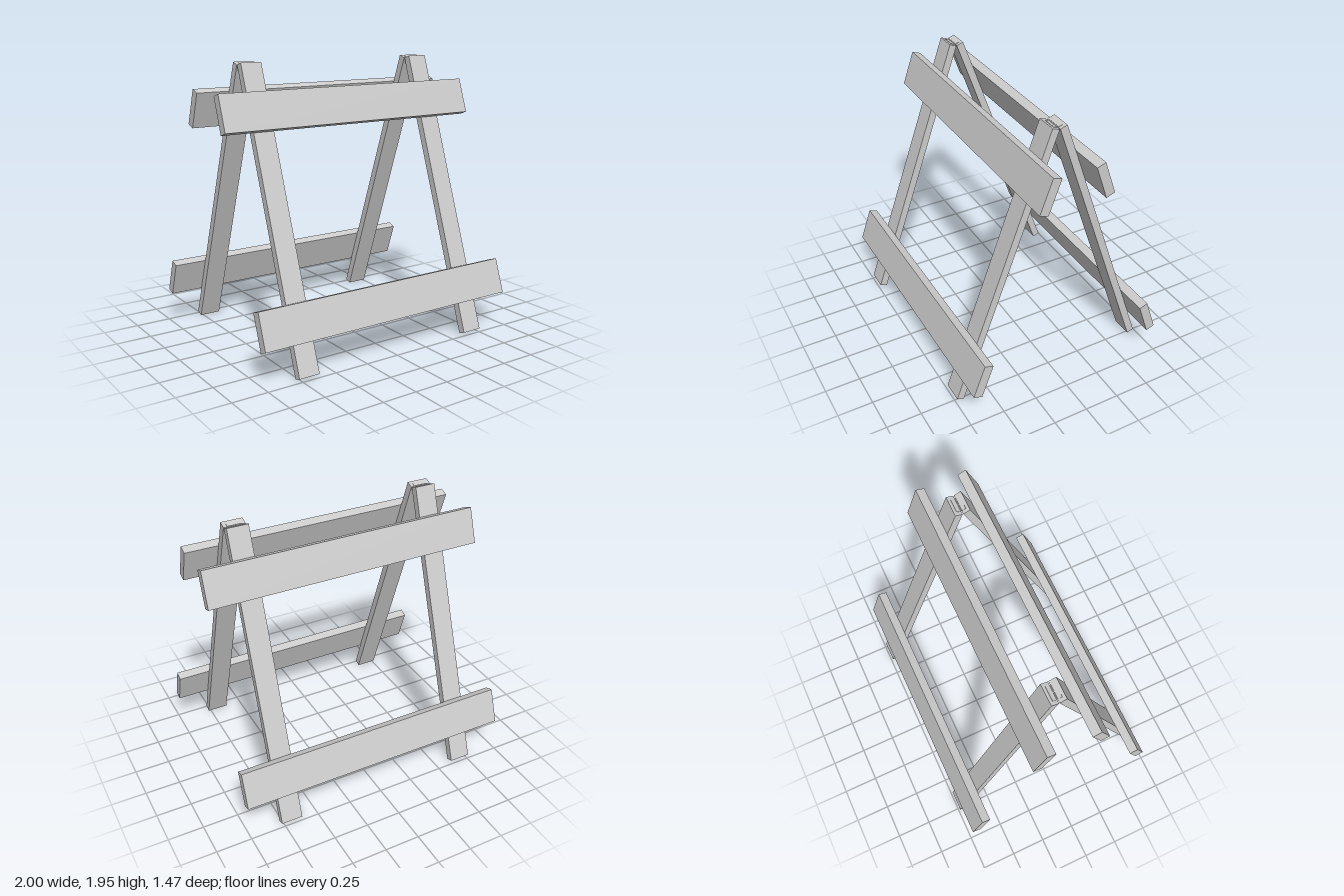
import * as THREE from 'three';

const material = new THREE.MeshStandardMaterial({ color: 0xcccccc, flatShading: true });

const LEAN = 0.3414;      // tilt of each frame from vertical
const LEG_LENGTH = 2.046;
const LEG_DEPTH = 0.053;
const LEG_X = 0.692;
const FOOT_Z = 0.687;     // inner bottom edge of the legs

// Box given by its centre x, its lower y and its inner z
function box(name, w, h, d, x, y, z) {
  const mesh = new THREE.Mesh(new THREE.BoxGeometry(w, h, d), material);
  mesh.name = name;
  mesh.position.set(x, y + h / 2, z + d / 2);
  return mesh;
}

// One leaning frame: two legs, two boards on the outside, hinge leaves on the leg tops
function createFrame(name) {
  const frame = new THREE.Group();
  frame.name = name;
  for (const x of [-LEG_X, LEG_X]) {
    frame.add(box('leg', 0.15, LEG_LENGTH, LEG_DEPTH, x, 0, 0));
    frame.add(box('hingeLeaf', 0.1, 0.003, 0.031, x, LEG_LENGTH, 0.001));
  }
  frame.add(box('lowerBoard', 2, 0.252, 0.065, 0, 0.219, LEG_DEPTH));
  frame.add(box('upperBoard', 2, 0.254, 0.065, 0, 1.583, LEG_DEPTH));
  frame.position.z = FOOT_Z;
  frame.rotation.x = -LEAN;
  return frame;
}

export function createModel() {
  const model = new THREE.Group();
  model.name = 'trestleBarrier';

  // Front frame, and the same frame turned round for the back
  model.add(createFrame('frontFrame'));
  const back = new THREE.Group();
  back.name = 'back';
  back.rotation.y = Math.PI;
  back.add(createFrame('backFrame'));
  model.add(back);

  // Hinge knuckles between the leg tops
  const knuckle = new THREE.CylinderGeometry(0.005, 0.005, 0.042, 10);
  knuckle.rotateZ(Math.PI / 2);
  for (const x of [-LEG_X, LEG_X]) {
    for (const offset of [-0.026, 0.026]) {
      const mesh = new THREE.Mesh(knuckle, material);
      mesh.name = 'hingeKnuckle';
      mesh.position.set(x + offset, 1.931, 0);
      model.add(mesh);
    }
  }
  return model;
}
